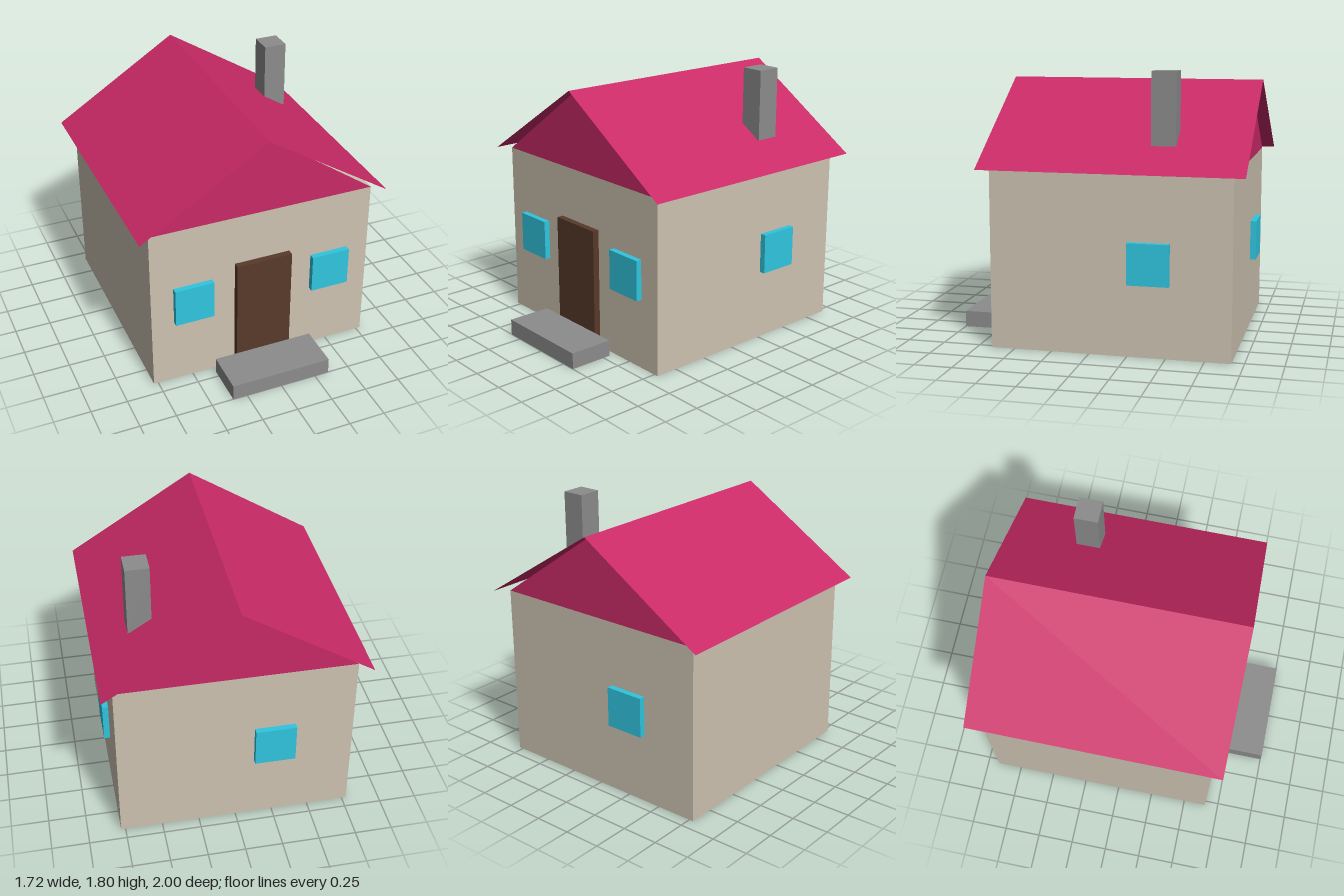
import * as THREE from 'three';

export function createModel() {
  const house = new THREE.Group();
  house.name = 'house';

  const paint = (color, side = THREE.FrontSide) =>
    new THREE.MeshStandardMaterial({ color, side, flatShading: true });
  const wall = paint(0xcdc3b1);
  const roof = paint(0xc92a66, THREE.DoubleSide);
  const glass = paint(0x30c6e0);
  const wood = paint(0x583a29);
  const stone = paint(0x8c8c8c);

  const add = (name, geometry, material) => {
    const mesh = new THREE.Mesh(geometry, material);
    mesh.name = name;
    house.add(mesh);
    return mesh;
  };

  // Box given by its extents on each axis
  const box = (name, material, [x0, x1], [y0, y1], [z0, z1]) =>
    add(name, new THREE.BoxGeometry(x1 - x0, y1 - y0, z1 - z0), material)
      .position.set((x0 + x1) / 2, (y0 + y1) / 2, (z0 + z1) / 2);

  const halfWidth = 0.78, front = 0.655, back = -0.92;
  const eaveY = 1.18, ridgeY = 1.725;
  const eaveX = 0.86, roofFront = 0.725, roofBack = -1;

  // Walls
  box('walls', wall, [-halfWidth, halfWidth], [0, eaveY], [back, front]);

  // Thin triangular gables, front and back
  const triangle = new THREE.Shape([
    new THREE.Vector2(-halfWidth, eaveY),
    new THREE.Vector2(halfWidth, eaveY),
    new THREE.Vector2(0, ridgeY),
  ]);
  add('frontGable', new THREE.ShapeGeometry(triangle), roof).position.z = front;
  const backGable = add('backGable', new THREE.ShapeGeometry(triangle), roof);
  backGable.position.z = back;
  backGable.rotation.y = Math.PI;

  // Thin roof slopes, overhanging on all sides
  const drop = ridgeY - eaveY;
  for (const side of [1, -1]) {
    const slope = new THREE.PlaneGeometry(Math.hypot(eaveX, drop), roofFront - roofBack);
    slope.rotateX(-Math.PI / 2);
    const mesh = add(side > 0 ? 'leftRoofSlope' : 'rightRoofSlope', slope, roof);
    mesh.position.set(side * eaveX / 2, (ridgeY + eaveY) / 2, (roofFront + roofBack) / 2);
    mesh.rotation.z = -side * Math.atan2(drop, eaveX);
  }

  // Chimney
  box('chimney', stone, [0.47, 0.625], [1.335, 1.805], [-0.53, -0.37]);

  // Door and step
  box('door', wood, [-0.195, 0.195], [0, 0.825], [front, 0.7]);
  box('doorstep', stone, [-0.35, 0.35], [0, 0.11], [0.7, 1]);

  // Windows
  const sill = [0.475, 0.745];
  const depth = 0.04;
  box('frontLeftWindow', glass, [0.355, 0.625], sill, [front, front + depth]);
  box('frontRightWindow', glass, [-0.625, -0.355], sill, [front, front + depth]);
  box('sideWindow', glass, [halfWidth, halfWidth + depth], sill, [-0.525, -0.255]);
  box('backWindow', glass, [-0.39, -0.12], sill, [back - depth, back]);

  return house;
}
